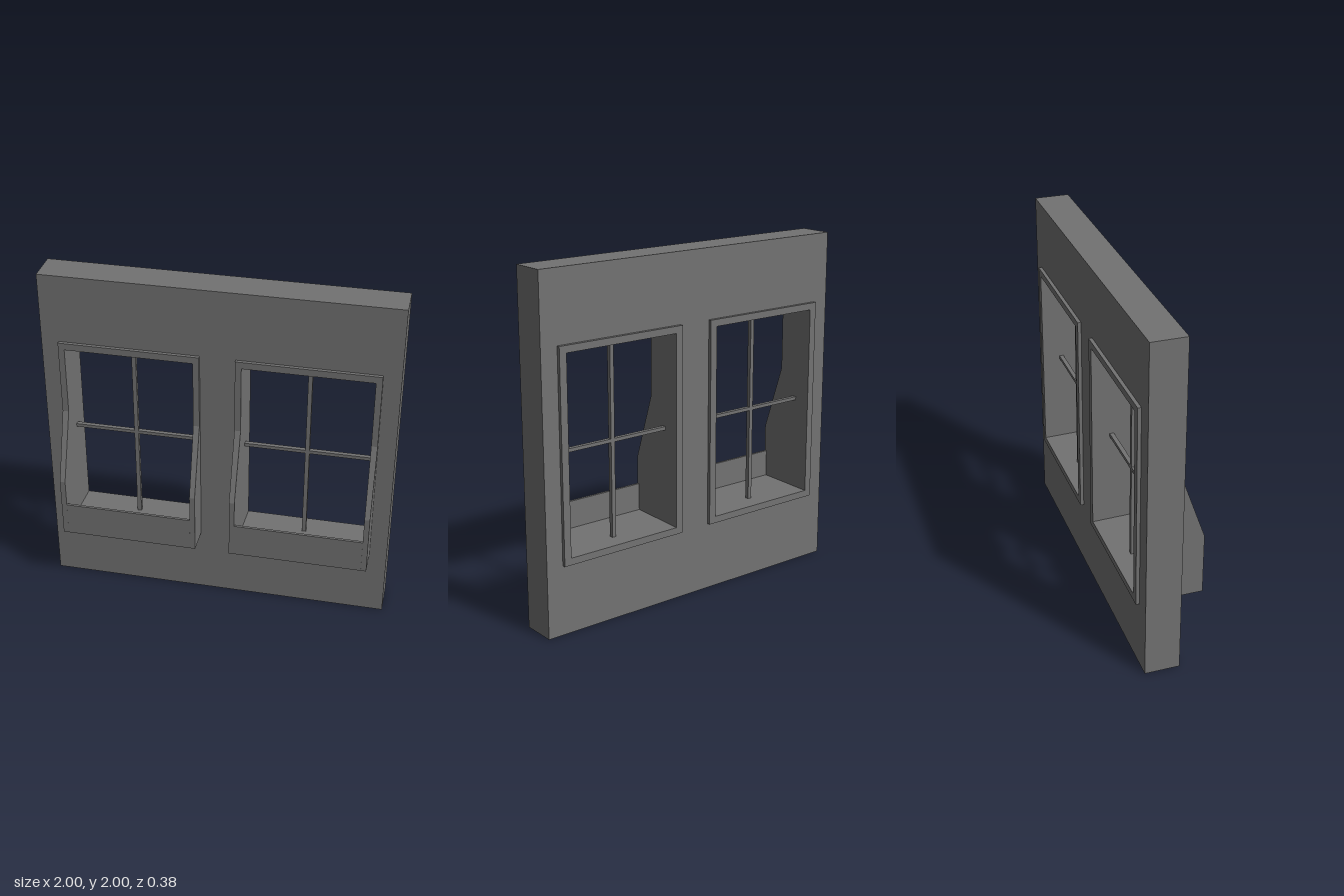
import * as THREE from 'three';

const material = new THREE.MeshStandardMaterial({ color: 0x727272, flatShading: true });

const WALL = { back: -0.17, front: 0.03 };
// Outer half width and height range of a window surround, frame thickness and depths
const HALF = 0.4, BOTTOM = 0.4, TOP = 1.6, T = 0.04;
const BACK = -0.19, FRONT = 0.05, SILL = 0.19;

function add(parent, name, geometry) {
  const mesh = new THREE.Mesh(geometry, material);
  mesh.name = name;
  parent.add(mesh);
  return mesh;
}

// Box given by its limits on each axis
function box(parent, name, [x0, x1], [y0, y1], [z0, z1]) {
  const mesh = add(parent, name, new THREE.BoxGeometry(x1 - x0, y1 - y0, z1 - z0));
  mesh.position.set((x0 + x1) / 2, (y0 + y1) / 2, (z0 + z1) / 2);
}

function polygon(points, Type = THREE.Shape) {
  return new Type(points.map(([x, y]) => new THREE.Vector2(x, y)));
}

const rect = (x0, x1, y0, y1) => [[x0, y0], [x1, y0], [x1, y1], [x0, y1]];

// Side cheek: straight at the top, sloping out to the deep sill box,
// its inner face splayed so that it gets thinner towards the front
function cheekGeometry(side) {
  const profile = polygon([
    [-BACK, BOTTOM], [-BACK, TOP], [-FRONT, TOP], [-FRONT, 1.16], [-SILL, 0.76], [-SILL, BOTTOM],
  ]);
  const geometry = new THREE.ExtrudeGeometry(profile, { depth: T, bevelEnabled: false });
  geometry.rotateY(Math.PI / 2); // profile x runs towards -z, depth along +x
  const p = geometry.attributes.position;
  for (let i = 0; i < p.count; i++) {
    const outer = (p.getX(i) > T / 2) === (side > 0);
    const thickness = 0.037 - 0.032 * p.getZ(i);
    p.setX(i, side * (outer ? HALF : HALF - thickness));
  }
  geometry.computeVertexNormals();
  return geometry;
}

function createWindow(side) {
  const group = new THREE.Group();
  group.name = side > 0 ? 'leftWindow' : 'rightWindow';
  group.position.x = side * 0.5;

  for (const s of [-1, 1]) add(group, s > 0 ? 'leftCheek' : 'rightCheek', cheekGeometry(s));

  // Head, sill floor and front apron, let into the cheeks
  const span = [-HALF + 0.031, HALF - 0.031];
  box(group, 'head', span, [TOP - T, TOP], [BACK, FRONT]);
  box(group, 'sill', span, [BOTTOM, BOTTOM + T], [BACK, SILL - 0.015]);
  box(group, 'apron', span, [BOTTOM, 0.6], [SILL - 0.015, SILL]);

  // Crossed glazing bars in the middle of the wall
  box(group, 'verticalBar', [-0.012, 0.012], [BOTTOM + T, TOP - T], [-0.085, -0.06]);
  box(group, 'horizontalBar', span, [0.99, 1.01], [-0.085, -0.06]);
  return group;
}

export function createModel() {
  const model = new THREE.Group();
  model.name = 'windowWall';

  // Wall slab with two openings
  const shape = polygon(rect(-1, 1, 0, 2));
  for (const x of [-0.5, 0.5]) {
    shape.holes.push(polygon(rect(x - HALF, x + HALF, BOTTOM, TOP), THREE.Path));
  }
  const wall = new THREE.ExtrudeGeometry(shape, { depth: WALL.front - WALL.back, bevelEnabled: false });
  add(model, 'wall', wall).position.z = WALL.back;

  for (const side of [-1, 1]) model.add(createWindow(side));
  return model;
}
